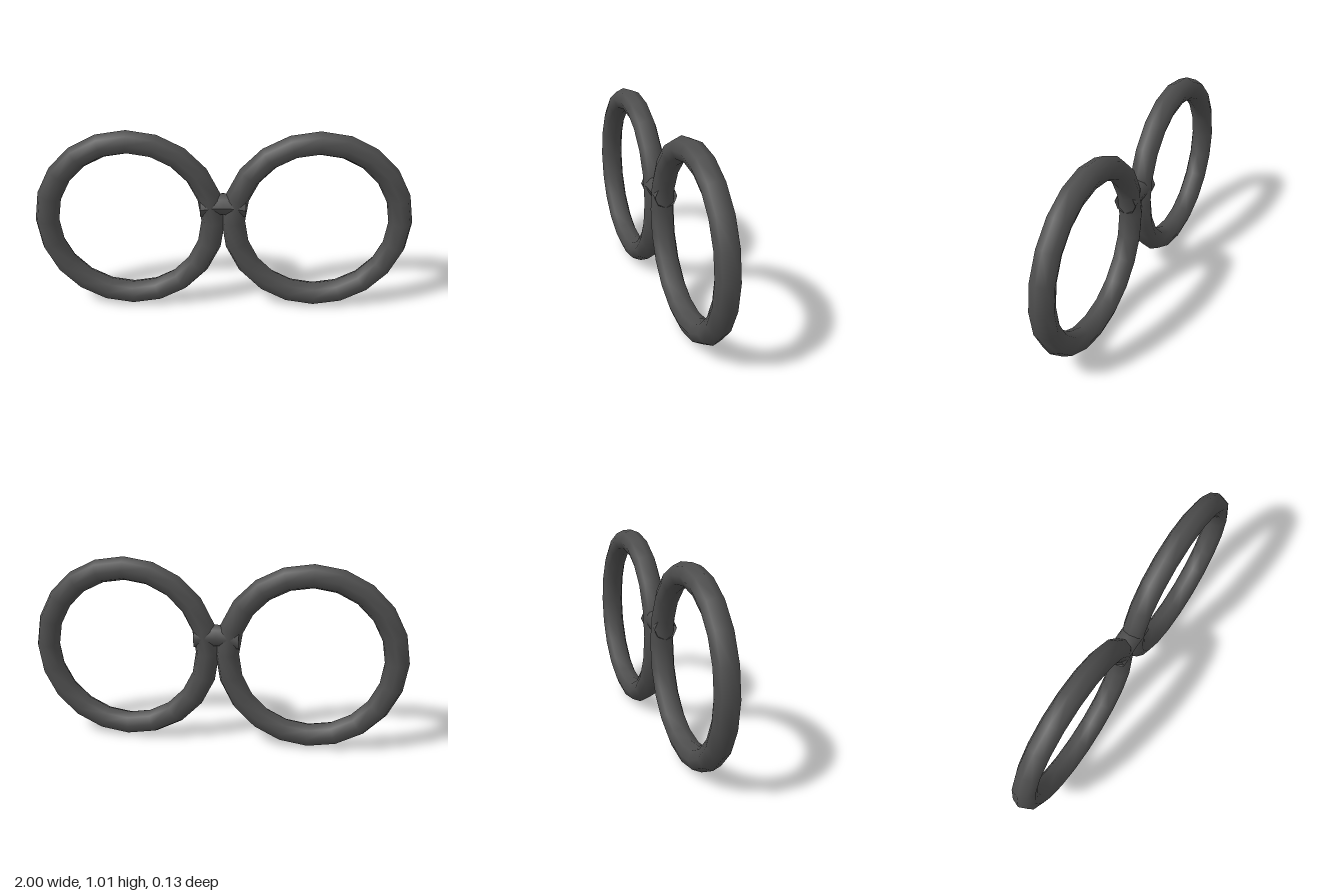
import * as THREE from 'three';

const TUBE = 0.063;      // thickness radius of the rims
const RING = 0.442;      // centre-line radius of the rims
const CENTRE_Y = 0.506;

export function createModel() {
  const group = new THREE.Group();
  const material = new THREE.MeshStandardMaterial({ color: 0x4d4d4d, side: THREE.DoubleSide });

  // Two round rims, touching in the middle
  const rimGeometry = new THREE.TorusGeometry(RING, TUBE, 8, 20);
  for (const [name, side] of [['leftRim', 1], ['rightRim', -1]]) {
    const rim = new THREE.Mesh(rimGeometry, material);
    rim.name = name;
    rim.position.set(side * 0.495, CENTRE_Y, 0);
    group.add(rim);
  }

  // Short, slightly arched bridge passing through both rims
  const bridgeGeometry = new THREE.CylinderGeometry(0.06, 0.06, 0.24, 8, 4, true);
  bridgeGeometry.rotateZ(Math.PI / 2);
  const position = bridgeGeometry.attributes.position;
  for (let i = 0; i < position.count; i++) {
    const x = position.getX(i);
    position.setY(i, position.getY(i) - 0.9 * x * x);
  }
  bridgeGeometry.computeVertexNormals();
  const bridge = new THREE.Mesh(bridgeGeometry, material);
  bridge.name = 'bridge';
  bridge.position.y = 0.604;
  group.add(bridge);

  return group;
}
